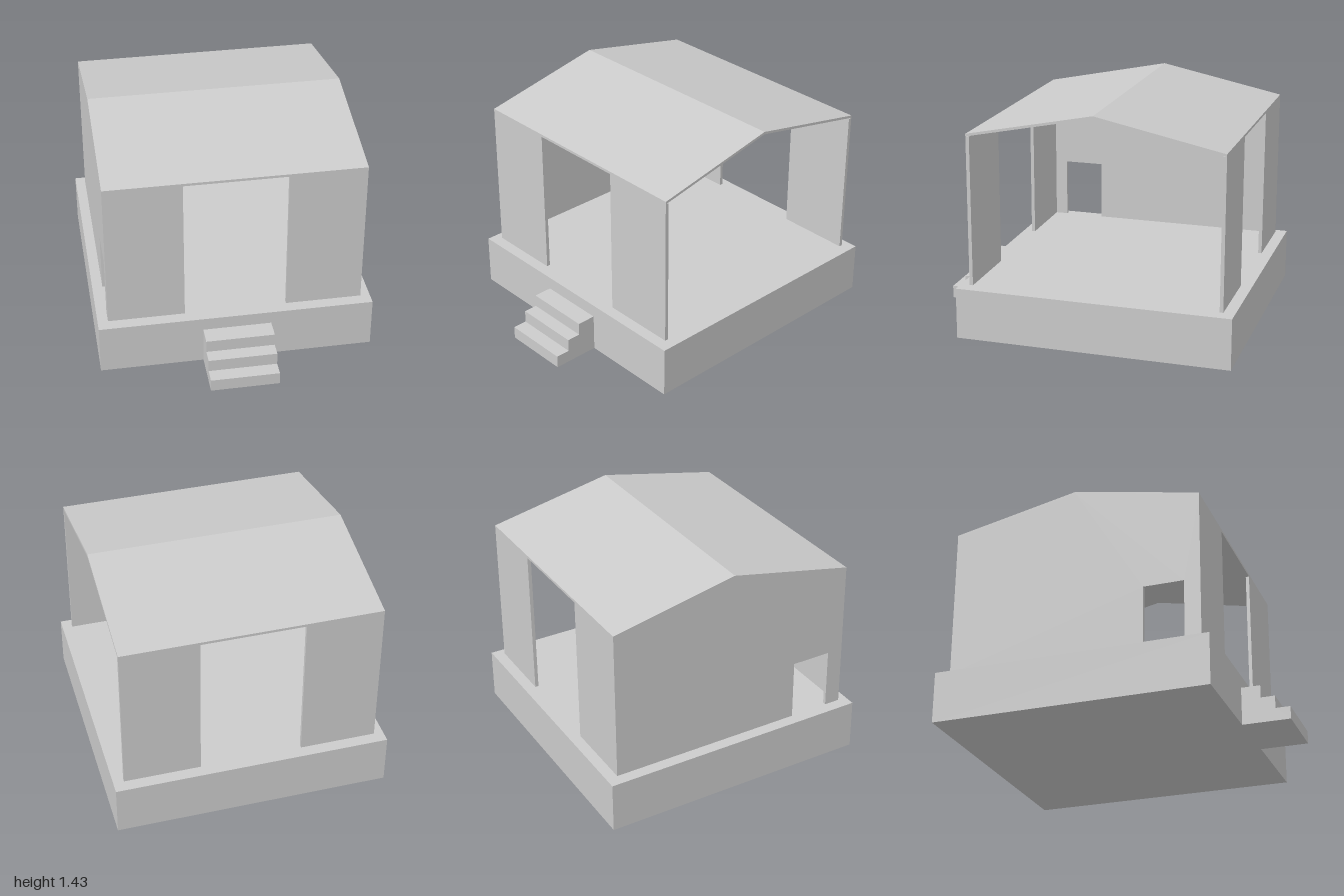
import * as THREE from 'three';

const material = new THREE.MeshStandardMaterial({ color: 0xcccccc, flatShading: true });

// Extrude a side profile given as [z, y] pairs from x0 to x1.
function sideExtrude(name, points, x0, x1) {
  const shape = new THREE.Shape(points.map(([z, y]) => new THREE.Vector2(-z, y)));
  const geometry = new THREE.ExtrudeGeometry(shape, { depth: x1 - x0, bevelEnabled: false });
  geometry.rotateY(Math.PI / 2).translate(x0, 0, 0);
  const mesh = new THREE.Mesh(geometry, material);
  mesh.name = name;
  return mesh;
}

// Box given by its minimum and maximum on each axis.
function box(name, [x0, x1], [y0, y1], [z0, z1]) {
  const mesh = new THREE.Mesh(new THREE.BoxGeometry(x1 - x0, y1 - y0, z1 - z0), material);
  mesh.position.set((x0 + x1) / 2, (y0 + y1) / 2, (z0 + z1) / 2);
  mesh.name = name;
  return mesh;
}

export function createModel() {
  const group = new THREE.Group();
  group.name = 'pavilion';

  const halfWidth = 0.787, front = 0.64, back = -0.934, ridge = -0.147;
  const thick = 0.022, roofThick = 0.016;
  const floor = 0.327, eave = 1.272, peak = 1.434;
  const eaveUnder = eave - roofThick, peakUnder = peak - roofThick;

  // Platform and three front steps
  group.add(box('platform', [-0.85, 0.85], [0, 0.318], [-1, 0.705]));
  group.add(sideExtrude('steps', [
    [0.705, 0], [1, 0], [1, 0.079], [0.91, 0.079], [0.91, 0.158],
    [0.823, 0.158], [0.823, 0.237], [0.705, 0.237],
  ], -0.212, 0.212));

  // Thin gabled roof
  group.add(sideExtrude('roof', [
    [front, eaveUnder], [front, eave], [ridge, peak],
    [back, eave], [back, eaveUnder], [ridge, peakUnder],
  ], -halfWidth, halfWidth));

  // Gable wall on one side only, with a low doorway; the other side is open
  group.add(sideExtrude('gableWall', [
    [front, floor], [front, eaveUnder], [ridge, peakUnder], [back, eaveUnder], [back, floor],
    [0.29, floor], [0.29, 0.704], [0.54, 0.704], [0.54, floor],
  ], -halfWidth, -halfWidth + thick));

  // Front and back panels either side of the wide openings
  for (const [name, z0, z1] of [['front', front - thick, front], ['back', back, back + thick]]) {
    group.add(box(name + 'RightPanel', [-halfWidth + thick, -0.315], [floor, eaveUnder], [z0, z1]));
    group.add(box(name + 'LeftPanel', [0.315, halfWidth], [floor, eaveUnder], [z0, z1]));
  }

  return group;
}
